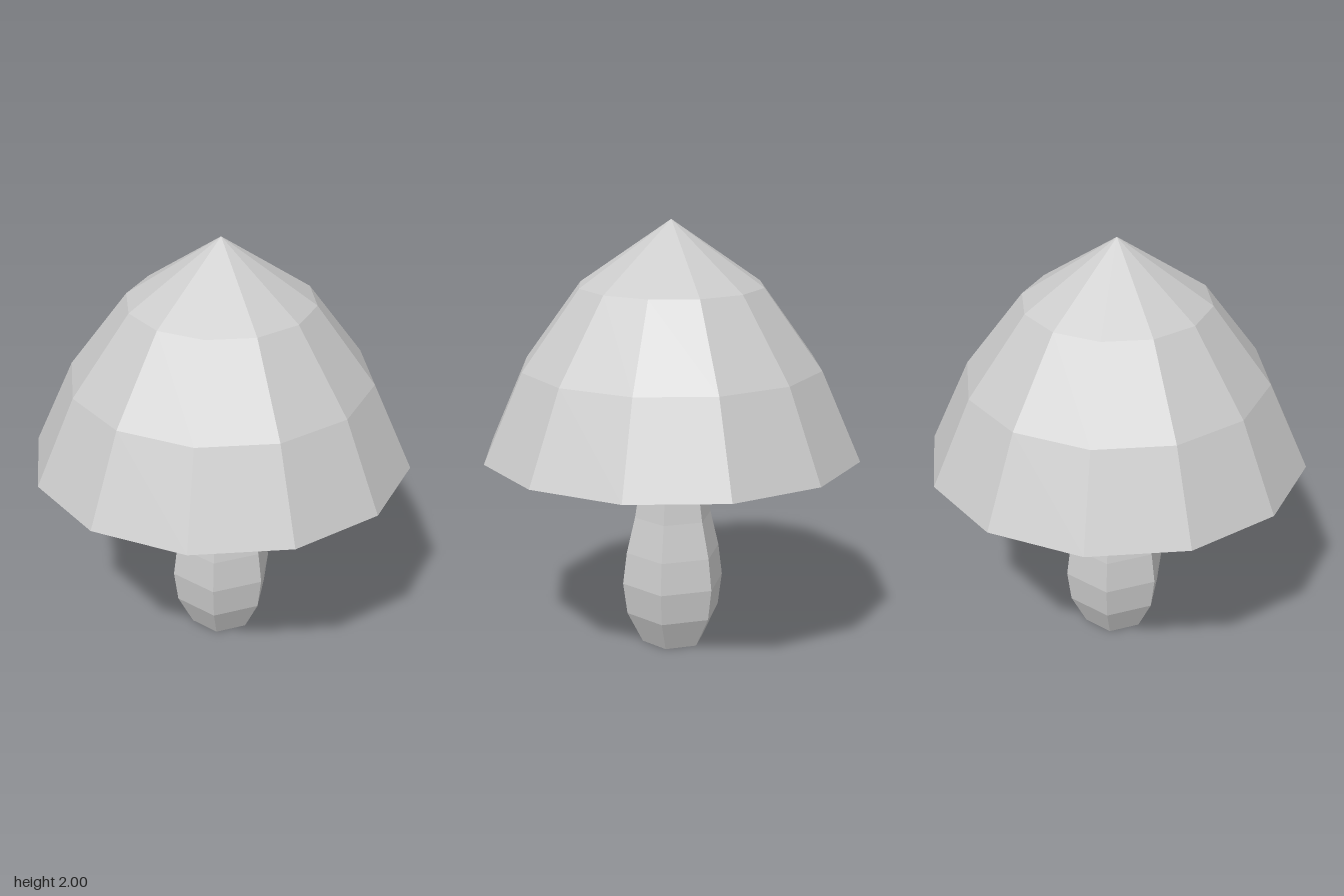
import * as THREE from 'three';

const material = new THREE.MeshStandardMaterial({ color: 0xcccccc, flatShading: true });

// Faceted solid of revolution; profile runs from bottom to top as [radius, y]
function facetedLathe(name, profile, sides, startAngle) {
  const points = profile.map(([r, y]) => new THREE.Vector2(r, y));
  const geometry = new THREE.LatheGeometry(points, sides, startAngle).toNonIndexed();
  geometry.computeVertexNormals();
  const mesh = new THREE.Mesh(geometry, material);
  mesh.name = name;
  return mesh;
}

export function createModel() {
  const model = new THREE.Group();
  model.name = 'mushroom';

  // Twelve-sided cap with a flat underside
  const cap = facetedLathe('cap', [
    [0, 0.93], [0.877, 0.93], [0.695, 1.34], [0.427, 1.705], [0, 2],
  ], 12, 0);

  // Six-sided bulging stem, slightly off centre, corners on the x axis
  const stem = facetedLathe('stem', [
    [0, 0], [0.15, 0], [0.225, 0.15], [0.245, 0.3], [0.226, 0.45],
    [0.185, 0.62], [0.154, 0.81], [0.15, 0.94], [0, 0.94],
  ], 6, Math.PI / 2);
  stem.position.set(0.006, 0, -0.01);

  model.add(cap, stem);
  return model;
}
